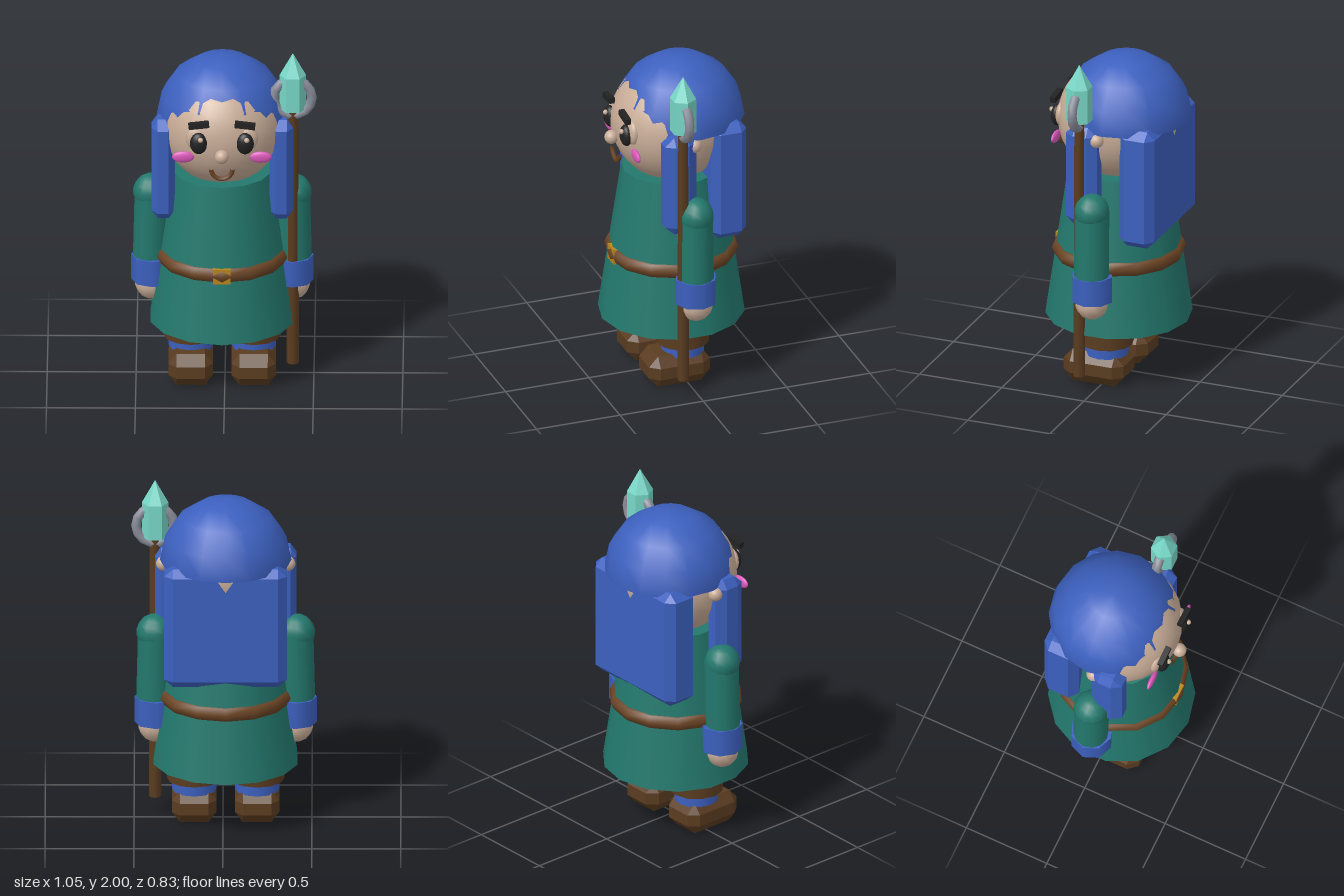
import * as THREE from 'three';
import { ConvexGeometry } from 'three/addons/geometries/ConvexGeometry.js';

const mat = (name, color, extra = {}) => {
  const m = new THREE.MeshStandardMaterial({ color, ...extra });
  m.name = name;
  return m;
};

// Box of the given size with chamfered edges (cut depth per axis)
function chamferBox(w, h, d, cx, cy, cz) {
  const pts = [];
  for (const i of [-1, 1]) for (const j of [-1, 1]) for (const k of [-1, 1]) {
    const x = w / 2, y = h / 2, z = d / 2;
    pts.push(
      new THREE.Vector3(i * x, j * (y - cy), k * (z - cz)),
      new THREE.Vector3(i * (x - cx), j * y, k * (z - cz)),
      new THREE.Vector3(i * (x - cx), j * (y - cy), k * z));
  }
  return new ConvexGeometry(pts);
}

export function createModel() {
  const blue = mat('blue', 0x3c60bf, { side: THREE.DoubleSide });
  const green = mat('green', 0x23786d);
  const brown = mat('leather brown', 0x6b4424);
  const darkBrown = mat('dark brown', 0x5a3c20);
  const skin = mat('skin', 0xc9ad98);
  const pink = mat('pink', 0xdb58bb);
  const black = mat('black', 0x222222);
  const crystal = mat('crystal', 0x78d8c8);
  const grey = mat('grey metal', 0x8a8d9a);
  const gold = mat('gold', 0xb8861f);

  const model = new THREE.Group();
  model.name = 'staffBearer';
  const body = new THREE.Group();
  body.name = 'figure';
  body.position.x = -0.015;
  model.add(body);

  const add = (name, geo, material, x, y, z) => {
    const m = new THREE.Mesh(geo, material);
    m.name = name;
    m.position.set(x, y, z);
    body.add(m);
    return m;
  };
  const ball = (name, material, x, y, z, rx, ry = rx, rz = rx, seg = 16) => {
    const m = add(name, new THREE.SphereGeometry(1, seg, Math.max(8, seg * 0.75)), material, x, y, z);
    m.scale.set(rx, ry, rz);
    return m;
  };
  const tube = (name, material, rTop, rBottom, y0, y1, x, z, seg, start = 0) =>
    add(name, new THREE.CylinderGeometry(rTop, rBottom, y1 - y0, seg, 1, false, start), material, x, (y0 + y1) / 2, z);

  // Robe, belt and buckle
  tube('robe', green, 0.283, 0.415, 0.35, 1.26, 0, 0, 14);
  const beltGeo = new THREE.TorusGeometry(0.328, 0.05, 8, 14);
  beltGeo.rotateZ(Math.PI / 2).rotateX(Math.PI / 2);
  add('belt', beltGeo, brown, 0, 0.748, 0);
  add('buckle', new THREE.BoxGeometry(0.1, 0.09, 0.06), gold, 0, 0.747, 0.334);

  // Head and face
  ball('head', skin, 0, 1.54, 0, 0.345, 0.345, 0.345, 24);
  ball('nose', skin, 0, 1.485, 0.36, 0.04);
  add('mouth', new THREE.TorusGeometry(0.06, 0.013, 6, 14, Math.PI), brown, 0, 1.398, 0.333).rotation.z = Math.PI;

  // Hair cap and back hair
  const cap = add('hairCap',
    new THREE.SphereGeometry(0.37, 16, 4, 0, Math.PI * 2, 0, Math.PI / 2), blue, 0, 1.568, -0.045);
  cap.scale.y = 0.99;
  add('backHair', chamferBox(0.69, 0.71, 0.215, 0.05, 0.045, 0.045), blue, 0, 1.25, -0.232);

  for (const s of [-1, 1]) {
    // Face halves
    ball('eyeSocket', skin, s * 0.137, 1.565, 0.285, 0.066, 0.076, 0.035);
    ball('eye', black, s * 0.13, 1.55, 0.32, 0.05, 0.064, 0.035);
    ball('eyeGlint', skin, s * 0.13 + 0.01, 1.582, 0.35, 0.015, 0.015, 0.015, 10);
    add('eyebrow', new THREE.BoxGeometry(0.115, 0.034, 0.032), black, s * 0.13, 1.665, 0.327).rotation.z = -s * 0.12;
    ball('cheek', pink, s * 0.218, 1.455, 0.293, 0.063, 0.034, 0.016);
    ball('ear', skin, s * 0.35, 1.53, -0.008, 0.042);
    add('sideLock', chamferBox(0.133, 0.605, 0.19, 0.035, 0.05, 0.055), blue, s * 0.332, 1.303, 0.078);

    // Arms
    ball('shoulder', green, s * 0.4, 1.115, 0, 0.103, 0.105, 0.1, 12);
    const sleeve = tube('sleeve', green, 0.098, 0.1, 0.66, 1.115, s * 0.4, 0, 12);
    sleeve.rotation.z = s * 0.02;
    tube('cuff', blue, 0.12, 0.12, 0.575, 0.728, s * 0.393, 0, 8);
    ball('hand', skin, s * 0.398, 0.558, 0, 0.095, 0.098, 0.095, 12);

    // Legs and boots
    tube('trouserLeg', blue, 0.125, 0.125, 0.17, 0.42, s * 0.177, 0, 12);
    tube('bootCuff', darkBrown, 0.153, 0.153, 0.235, 0.33, s * 0.177, 0, 12);
    add('boot', chamferBox(0.25, 0.19, 0.365, 0.045, 0.06, 0.055), darkBrown, s * 0.177, 0.095, 0.047);
  }

  // Staff with ring and crystal head
  const sx = 0.397, sz = 0.077;
  tube('staffShaft', darkBrown, 0.03, 0.035, 0.098, 1.68, sx, sz, 8);
  add('staffRing', new THREE.TorusGeometry(0.107, 0.028, 8, 14), grey, sx, 1.728, sz);
  const points = [[0, 1.66], [0.075, 1.66], [0.075, 1.865], [0, 2]].map(p => new THREE.Vector2(...p));
  const gem = new THREE.LatheGeometry(points, 6, Math.PI / 2).toNonIndexed();
  gem.computeVertexNormals();
  add('staffCrystal', gem, crystal, sx, 0, sz);

  return model;
}
